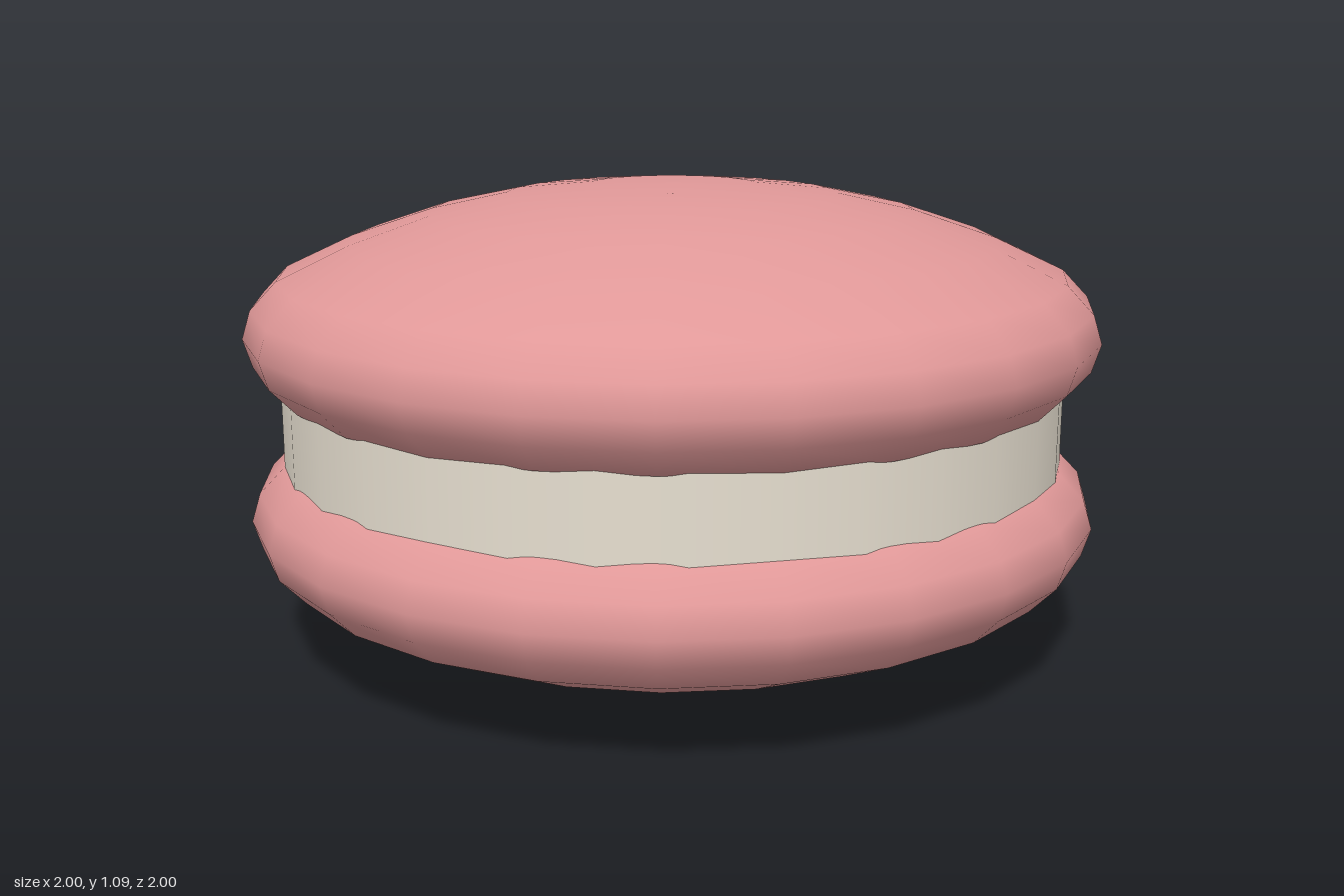
import * as THREE from 'three';

const HEIGHT = 1.09;

// Upper shell profile as [radius, y], from the hidden underside to the crown
const SHELL_PROFILE = [
  [0, 0.6], [0.8, 0.6], [0.92, 0.633], [0.98, 0.695], [1, 0.76], [0.98, 0.825],
  [0.92, 0.888], [0.76, 0.963], [0.57, 1.027], [0.39, 1.066], [0.2, 1.086], [0, HEIGHT],
];

function makeShell(name, profile, material) {
  const points = profile.map(([r, y]) => new THREE.Vector2(r, y));
  const shell = new THREE.Mesh(new THREE.LatheGeometry(points, 24), material);
  shell.name = name;
  return shell;
}

export function createModel() {
  const shellPink = new THREE.MeshStandardMaterial({ color: 0xe09898 });
  shellPink.name = 'shell pink';
  const cream = new THREE.MeshStandardMaterial({ color: 0xe9e1d2 });
  cream.name = 'filling cream';

  const model = new THREE.Group();
  model.name = 'sandwichCookie';

  // Two domed biscuit shells, the lower one mirrored
  const lowerProfile = SHELL_PROFILE.map(([r, y]) => [r, HEIGHT - y]).reverse();
  model.add(makeShell('upperShell', SHELL_PROFILE, shellPink));
  model.add(makeShell('lowerShell', lowerProfile, shellPink));

  // Cream disc between the shells
  const filling = new THREE.Mesh(new THREE.CylinderGeometry(0.92, 0.92, 0.22, 32), cream);
  filling.name = 'filling';
  filling.position.y = HEIGHT / 2;
  model.add(filling);

  return model;
}
